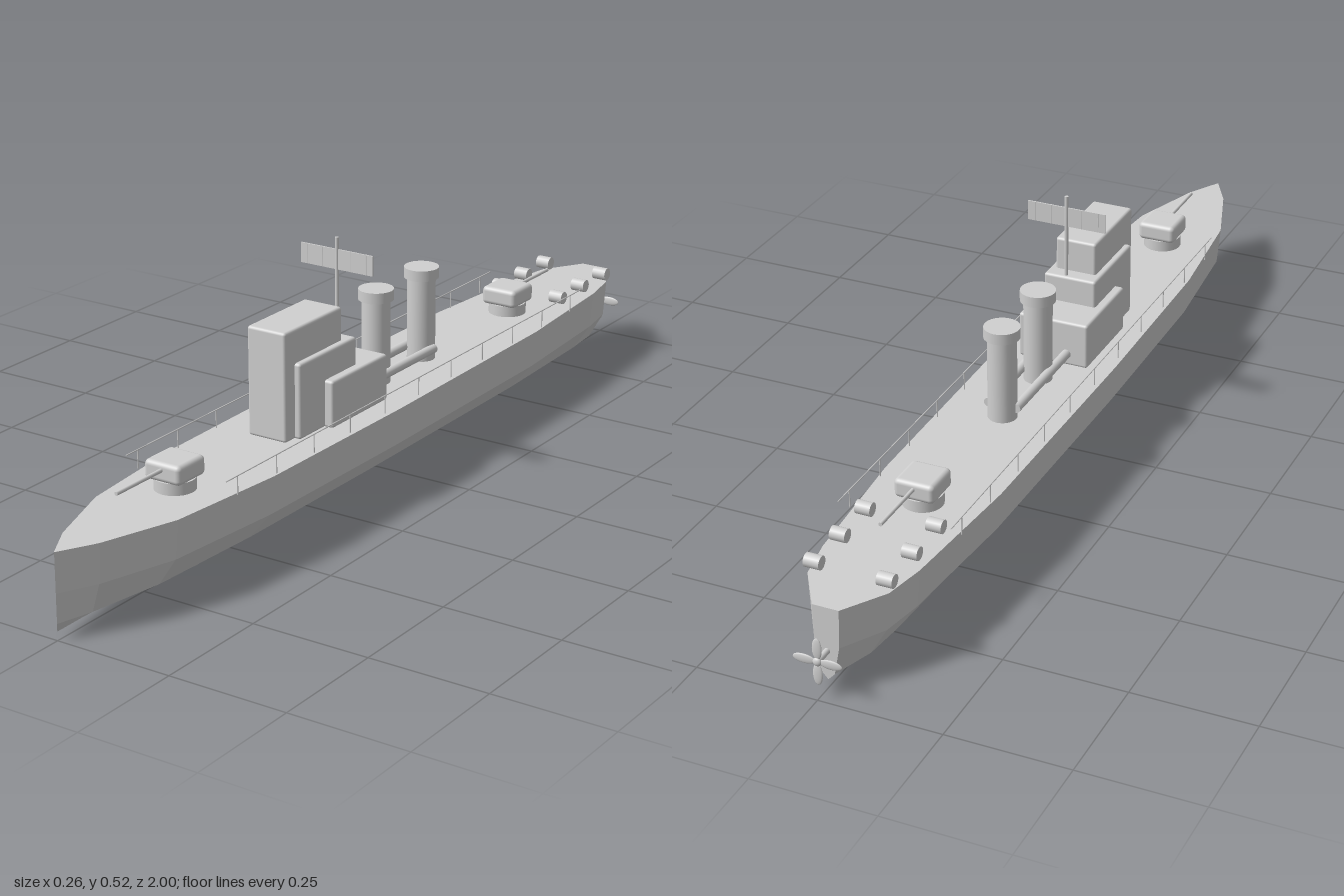
import * as THREE from 'three';
import { RoundedBoxGeometry } from 'three/addons/geometries/RoundedBoxGeometry.js';

const grey = new THREE.MeshStandardMaterial({ color: 0xd0d0d0 });
grey.name = 'lightGrey';

function add(parent, name, geometry, x = 0, y = 0, z = 0) {
  const m = new THREE.Mesh(geometry, grey);
  m.name = name;
  m.position.set(x, y, z);
  parent.add(m);
  return m;
}

const rod = (r, length, axis = 'y', sides = 16) => {
  const g = new THREE.CylinderGeometry(r, r, length, sides);
  if (axis === 'x') g.rotateZ(Math.PI / 2);
  if (axis === 'z') g.rotateX(Math.PI / 2);
  return g;
};

// Faceted hull: one cross-section, scaled in width at each station from bow to stern
function hullGeometry() {
  const section = [[1, 0.173], [0.92, 0.092], [0.51, 0.033], [0, 0.018],
    [-0.51, 0.033], [-0.92, 0.092], [-1, 0.173]];
  const stations = [[1, 0.0003], [0.925, 0.042], [0.765, 0.096], [0.5, 0.122], [0.07, 0.128],
    [-0.48, 0.123], [-0.78, 0.1], [-0.87, 0.083], [-0.957, 0.027]];
  const rings = stations.map(([z, w]) => section.map(([x, y]) => new THREE.Vector3(x * w, y, z)));
  const pos = [];
  const nor = [];
  // One flat normal per panel, taken from its diagonals
  const panel = (a, b, c, d) => {
    const normal = c.clone().sub(a).cross(d.clone().sub(b)).normalize();
    for (const v of [a, b, c, a, c, d]) {
      pos.push(...v.toArray());
      nor.push(...normal.toArray());
    }
  };
  const n = section.length;
  for (let i = 0; i < rings.length - 1; i++) {
    for (let j = 0; j < n; j++) {
      const k = (j + 1) % n; // the last strip closes the deck
      panel(rings[i][j], rings[i][k], rings[i + 1][k], rings[i + 1][j]);
    }
  }
  // Transom in three mirrored strips
  const stern = rings[rings.length - 1];
  panel(stern[0], stern[1], stern[5], stern[6]);
  panel(stern[1], stern[2], stern[4], stern[5]);
  panel(stern[2], stern[3], stern[3], stern[4]);
  const g = new THREE.BufferGeometry();
  g.setAttribute('position', new THREE.Float32BufferAttribute(pos, 3));
  g.setAttribute('normal', new THREE.Float32BufferAttribute(nor, 3));
  return g;
}

// Gun turret, barrel pointing along +z
function turret(name) {
  const g = new THREE.Group();
  g.name = name;
  add(g, 'turretBase', rod(0.041, 0.024, 'y', 24), 0, 0.012, 0);
  add(g, 'turretHouse', new RoundedBoxGeometry(0.084, 0.04, 0.084, 3, 0.01), 0, 0.043, 0);
  add(g, 'barrel', rod(0.004, 0.14, 'z', 12), 0, 0.049, 0.105);
  return g;
}

export function createModel() {
  const ship = new THREE.Group();
  ship.name = 'warship';
  const deck = 0.173;

  add(ship, 'hull', hullGeometry());

  // Sonar dome under the bow
  add(ship, 'sonarDome', new THREE.SphereGeometry(1, 24, 16), 0, 0.032, 0.61).scale.set(0.033, 0.032, 0.055);

  // Stepped bridge: half width, top, centre z
  [[0.045, 0.398, 0.254], [0.058, 0.328, 0.222], [0.077, 0.27, 0.138]].forEach(([w, top, z], i) => {
    add(ship, `bridgeBlock${i + 1}`, new RoundedBoxGeometry(w * 2, top - deck + 0.002, 0.197, 2, 0.006),
      0, (top + deck) / 2, z);
  });

  // Mast with radar panel
  add(ship, 'mast', rod(0.004, 0.178, 'y', 12), 0, 0.433, 0.107);
  add(ship, 'radarPanel', new THREE.BoxGeometry(0.172, 0.042, 0.003), 0, 0.476, 0.107);
  for (const x of [-0.07, -0.034, 0.034, 0.07]) {
    add(ship, 'radarRib', rod(0.002, 0.042, 'y', 8), x, 0.476, 0.107);
  }

  // Funnels with wider caps
  for (const z of [-0.035, -0.208]) {
    add(ship, 'funnel', rod(0.03, 0.2, 'y', 24), 0, deck + 0.095, z);
    add(ship, 'funnelCap', rod(0.037, 0.023, 'y', 24), 0, 0.364, z);
  }

  // Paired launch tubes beside the funnels
  for (const s of [-1, 1]) {
    add(ship, 'launchTube', rod(0.01, 0.25, 'z'), s * 0.03, 0.198, -0.085);
  }

  // Turrets fore and aft
  const front = turret('frontTurret');
  front.position.set(0, deck, 0.647);
  const rear = turret('rearTurret');
  rear.position.set(0, deck, -0.565);
  rear.rotation.y = Math.PI;
  ship.add(front, rear);

  for (const s of [-1, 1]) {
    // Depth charges on the aft deck
    for (const z of [-0.66, -0.76, -0.86]) {
      add(ship, 'depthCharge', rod(0.014, 0.032, 'x'), s * 0.074, 0.194, z);
    }
    // Railings
    add(ship, 'rail', rod(0.0013, 1.33, 'z', 8), s * 0.117, 0.211, -0.02);
    for (let i = 0; i <= 10; i++) {
      add(ship, 'railPost', rod(0.0013, 0.038, 'y', 8), s * 0.117, 0.192, 0.61 - i * 0.125);
    }
  }

  // Propeller
  add(ship, 'propellerShaft', rod(0.006, 0.06, 'z'), 0, 0.08, -0.968);
  const prop = new THREE.Group();
  prop.name = 'propeller';
  prop.position.set(0, 0.08, -0.994);
  add(prop, 'propellerHub', new THREE.SphereGeometry(0.009, 16, 12)).scale.z = 0.65;
  for (let i = 0; i < 4; i++) {
    const arm = new THREE.Group();
    arm.name = 'propellerBlade';
    arm.rotation.z = i * Math.PI / 2;
    add(arm, 'blade', new THREE.SphereGeometry(1, 16, 10), 0, 0.027, 0).scale.set(0.01, 0.023, 0.003);
    prop.add(arm);
  }
  ship.add(prop);

  return ship;
}
